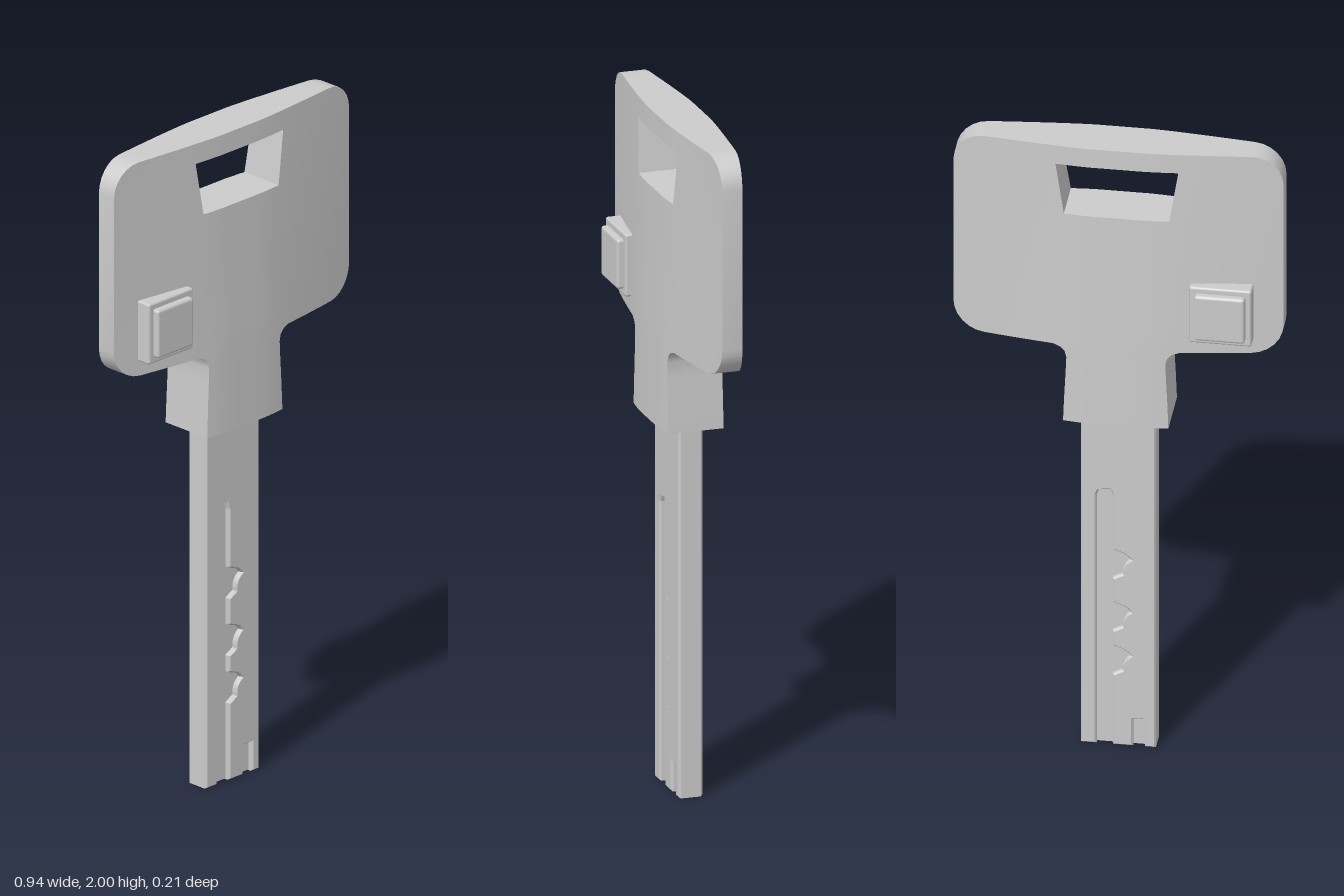
import * as THREE from 'three';
import { toCreasedNormals } from 'three/addons/utils/BufferGeometryUtils.js';
import { RoundedBoxGeometry } from 'three/addons/geometries/RoundedBoxGeometry.js';

const material = new THREE.MeshStandardMaterial({ color: 0xcccccc });

function mesh(name, geometry) {
  const m = new THREE.Mesh(geometry, material);
  m.name = name;
  return m;
}

// Half thickness of the grip: thick in the middle, thin at the sides
function depth(x, y) {
  const centre = y > 1.35 ? 0.086 - 0.02 * (y - 1.35) / 0.65 : 0.086 + 0.004 * (1.35 - y) / 0.25;
  const t = Math.max(0, Math.abs(x) - 0.08) / 0.39;
  return centre - (centre - 0.03) * Math.pow(t, 1.25);
}

// Grip and collar: lens-shaped plate with rounded corners and a trapezoid slot
function gripGeometry() {
  const R = 0.09, X = 0.47, LOW = 1.35, TOP = 2, SLOT = 1.94;
  const half = [0.04, 0.08, 0.12, 0.15, 0.175, 0.18, 0.22, 0.27, 0.32, X - R];
  for (let k = 1; k <= 6; k++) half.push(X - R + R * Math.sin(k * Math.PI / 12));
  const cols = [...half.map(x => -x).reverse(), 0, ...half];

  const corner = x => {
    const d = Math.max(0, Math.abs(x) - (X - R));
    return R - Math.sqrt(Math.max(0, R * R - d * d));
  };
  const top = x => TOP - corner(x);
  const bottom = x => LOW + corner(x);
  const slotTop = x => Math.min(SLOT, top(x));
  const slotBottom = x =>
    Math.min(slotTop(x), 1.78 + 0.16 * THREE.MathUtils.clamp((Math.abs(x) - 0.15) / 0.025, 0, 1));

  const pos = [];
  const vert = ([x, y], s) => [x, y, s * depth(x, y)];
  const quad = (a, b, c, d) => pos.push(...a, ...b, ...c, ...a, ...c, ...d);

  // Front and back skin over a grid of points
  const skin = (nu, nv, at) => {
    for (let i = 0; i < nu; i++) for (let j = 0; j < nv; j++) {
      const p = [at(i, j), at(i + 1, j), at(i + 1, j + 1), at(i, j + 1)];
      quad(...p.map(q => vert(q, 1)));
      quad(...p.reverse().map(q => vert(q, -1)));
    }
  };
  // Wall joining front and back along a closed loop
  const wall = loop => loop.forEach((p, i) => {
    const q = loop[(i + 1) % loop.length];
    quad(vert(p, 1), vert(p, -1), vert(q, -1), vert(q, 1));
  });

  const band = (lo, hi, n) => skin(cols.length - 1, n, (i, j) => {
    const x = cols[i];
    return [x, lo(x) + (hi(x) - lo(x)) * j / n];
  });
  band(bottom, slotBottom, 10);
  band(slotTop, top, 2);

  // Collar, flaring into the grip
  const rows = [[1.1, 0.15], [1.18, 0.147], [1.26, 0.143], [1.31, 0.141],
    [1.33, 0.146], [1.342, 0.158], [1.35, 0.18]];
  const mid = cols.filter(x => Math.abs(x) <= 0.18);
  skin(mid.length - 1, rows.length - 1, (i, j) => [mid[i] / 0.18 * rows[j][1], rows[j][0]]);

  // Outer edge
  const right = cols.filter(x => x > 0.18);
  const left = cols.filter(x => x < -0.18);
  wall([
    ...mid.map(x => [x / 0.18 * 0.15, 1.1]),
    ...rows.slice(1).map(([y, w]) => [w, y]),
    ...right.map(x => [x, bottom(x)]),
    ...[...cols].reverse().map(x => [x, top(x)]),
    ...left.map(x => [x, bottom(x)]),
    ...rows.slice(1).reverse().map(([y, w]) => [-w, y]),
  ]);

  // Slot edge
  const slot = cols.filter(x => Math.abs(x) <= 0.175);
  wall([
    ...slot.map(x => [x, SLOT]),
    ...slot.slice(1, -1).reverse().map(x => [x, slotBottom(x)]),
  ]);

  const g = new THREE.BufferGeometry();
  g.setAttribute('position', new THREE.Float32BufferAttribute(pos, 3));
  return toCreasedNormals(g, 0.6);
}

// One face of the blade, with channel, scalloped bites and tip slot
function bladeFaceGeometry() {
  const s = new THREE.Shape();
  s.moveTo(-0.107, 0);
  s.lineTo(-0.062, 0);
  s.lineTo(-0.062, 0.83);
  s.lineTo(-0.056, 0.845);
  s.lineTo(-0.022, 0.85);
  s.lineTo(-0.016, 0.83);
  for (const y of [0.6, 0.425, 0.28]) {
    s.lineTo(-0.016, y + 0.05);
    s.lineTo(0.004, y + 0.042);
    s.quadraticCurveTo(0.022, y + 0.038, 0.036, y + 0.02);
    s.quadraticCurveTo(0.01, y + 0.005, 0.012, y - 0.03);
    s.lineTo(-0.016, y - 0.045);
  }
  s.lineTo(-0.016, 0);
  s.lineTo(0.042, 0);
  s.lineTo(0.042, 0.09);
  s.lineTo(0.076, 0.09);
  s.lineTo(0.076, 0);
  s.lineTo(0.107, 0);
  s.lineTo(0.107, 1.14);
  s.lineTo(-0.107, 1.14);
  s.closePath();
  return new THREE.ExtrudeGeometry(s, {
    depth: 0.03, curveSegments: 6, bevelEnabled: true, bevelSegments: 1,
    bevelThickness: 0.006, bevelSize: 0.005, bevelOffset: -0.005,
  });
}

export function createModel() {
  const group = new THREE.Group();
  group.add(mesh('grip', gripGeometry()));

  // Blade: core with the same cut face on both sides
  const blade = new THREE.Group();
  blade.name = 'blade';
  const core = mesh('bladeCore', new THREE.BoxGeometry(0.21, 1.13, 0.042));
  core.position.y = 0.567;
  blade.add(core);
  const faceGeometry = bladeFaceGeometry();
  for (const turn of [0, Math.PI]) {
    const face = mesh(turn ? 'bladeBack' : 'bladeFront', faceGeometry);
    face.rotation.y = turn;
    blade.add(face);
  }
  group.add(blade);

  // Square button passing through the grip
  const frame = mesh('buttonFrame', new RoundedBoxGeometry(0.178, 0.185, 0.174, 2, 0.007));
  frame.position.set(-0.298, 1.487, 0);
  const button = mesh('button', new RoundedBoxGeometry(0.144, 0.148, 0.212, 2, 0.009));
  button.position.set(-0.298, 1.487, 0);
  group.add(frame, button);

  return group;
}
